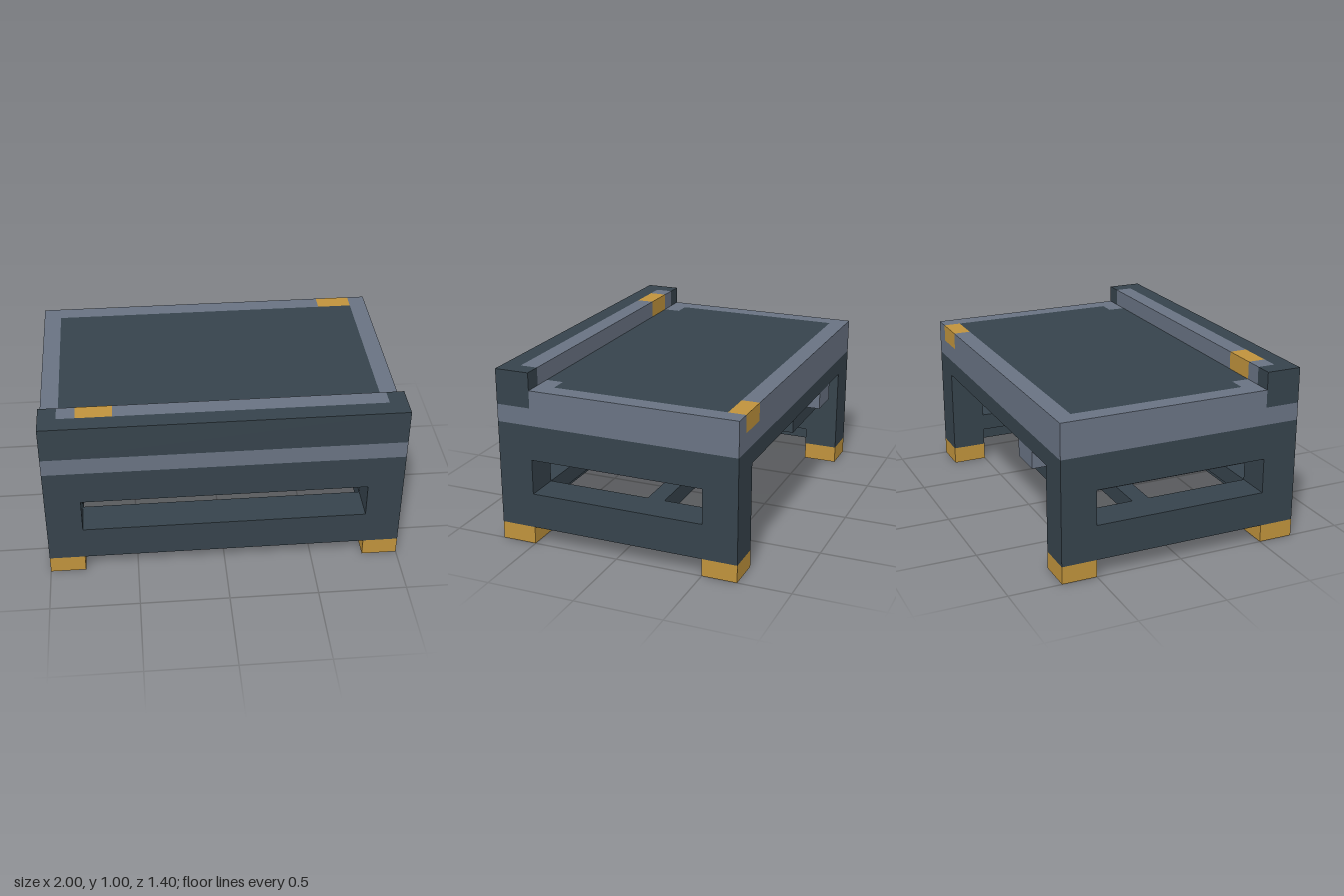
import * as THREE from 'three';

export function createModel() {
  const model = new THREE.Group();
  const material = (name, color) => {
    const m = new THREE.MeshStandardMaterial({ color });
    m.name = name;
    return m;
  };
  const dark = material('charcoal', 0x36434c);
  const grey = material('slate grey', 0x697383);
  const gold = material('brass', 0xc0933c);

  // Block given by its ranges in x, y and z
  const block = (name, mat, [x0, x1], [y0, y1], [z0, z1]) => {
    const mesh = new THREE.Mesh(new THREE.BoxGeometry(x1 - x0, y1 - y0, z1 - z0), mat);
    mesh.position.set((x0 + x1) / 2, (y0 + y1) / 2, (z0 + z1) / 2);
    mesh.name = name;
    model.add(mesh);
  };
  const side = (s, a, b) => (s > 0 ? [a, b] : [-b, -a]);

  // Feet and corner posts
  for (const sx of [1, -1]) {
    for (const sz of [1, -1]) {
      block('foot', gold, side(sx, 0.8, 1), [0, 0.1], side(sz, 0.5, 0.7));
      block('cornerPost', dark, side(sx, 0.8, 1), [0.2, 0.7], side(sz, 0.5, 0.7));
    }
    // Post bases, cut back on the inside next to the skirts
    block('frontPostBase', dark, side(sx, 0.9, 1), [0.1, 0.2], [0.5, 0.7]);
    block('frontPostBase', dark, side(sx, 0.8, 0.9), [0.1, 0.2], [0.6, 0.7]);
    block('backPostBase', dark, side(sx, 0.8, 1), [0.1, 0.2], [-0.7, -0.5]);
    // Side frames around the open window
    block('sideSkirt', dark, side(sx, 0.9, 1), [0.1, 0.2], [-0.5, 0.5]);
    block('sideSill', dark, side(sx, 0.8, 1), [0.2, 0.3], [-0.5, 0.5]);
    block('sideBeam', dark, side(sx, 0.8, 1), [0.5, 0.7], [-0.5, 0.5]);
  }

  // Front frame, back apron and stretcher
  block('frontSkirt', dark, [-0.8, 0.8], [0.1, 0.2], [0.6, 0.7]);
  block('frontSill', dark, [-0.8, 0.8], [0.2, 0.3], [0.5, 0.7]);
  block('frontBeam', dark, [-0.8, 0.8], [0.5, 0.7], [0.5, 0.7]);
  block('backApron', dark, [-0.8, 0.8], [0.6, 0.7], [-0.7, -0.5]);
  block('stretcher', dark, [-0.8, 0.8], [0.2, 0.3], [-0.2, -0.1]);

  // Top board with its rim
  block('topBoard', dark, [-0.9, 0.9], [0.7, 0.9], [-0.6, 0.4]);
  block('topBoardFront', dark, [-0.8, 0.8], [0.7, 0.9], [0.4, 0.5]);
  block('frontRim', grey, [-1, 1], [0.7, 0.8], [0.5, 0.7]);
  for (const s of [1, -1]) {
    block('sideRim', grey, side(s, 0.9, 1), [0.7, 0.9], [-0.6, 0.5]);
    block('rimCorner', grey, side(s, 0.8, 0.9), [0.7, 0.9], [0.4, 0.5]);
  }
  block('backRim', grey, [-1, 0.7], [0.7, 0.9], [-0.7, -0.6]);
  block('backRim', grey, [0.9, 1], [0.7, 0.9], [-0.7, -0.6]);
  block('backRim', grey, [0.7, 0.9], [0.7, 0.8], [-0.7, -0.6]);
  block('backClasp', gold, [0.7, 0.9], [0.8, 0.9], [-0.7, -0.6]);

  // Raised front rail with an inlaid strip
  block('frontRail', dark, [-1, 1], [0.8, 1], [0.6, 0.7]);
  for (const s of [1, -1]) block('railEnd', dark, side(s, 0.9, 1), [0.8, 1], [0.5, 0.6]);
  block('railStrip', grey, [-0.9, -0.8], [0.8, 1], [0.5, 0.6]);
  block('railStrip', grey, [-0.6, 0.9], [0.8, 1], [0.5, 0.6]);
  block('railStrip', grey, [-0.8, -0.6], [0.8, 0.9], [0.5, 0.6]);
  block('railClasp', gold, [-0.8, -0.6], [0.9, 1], [0.5, 0.6]);

  // Drawer box under the top, opening to the back
  block('drawerBox', grey, [-0.8, -0.2], [0.4, 0.7], [-0.5, 0.5]);
  block('drawerLip', dark, [-0.8, -0.2], [0.4, 0.5], [-0.6, -0.5]);
  block('drawerFront', grey, [-0.8, -0.2], [0.5, 0.6], [-0.6, -0.5]);
  block('drawerHandle', grey, [-0.6, -0.4], [0.5, 0.6], [-0.7, -0.6]);

  return model;
}
